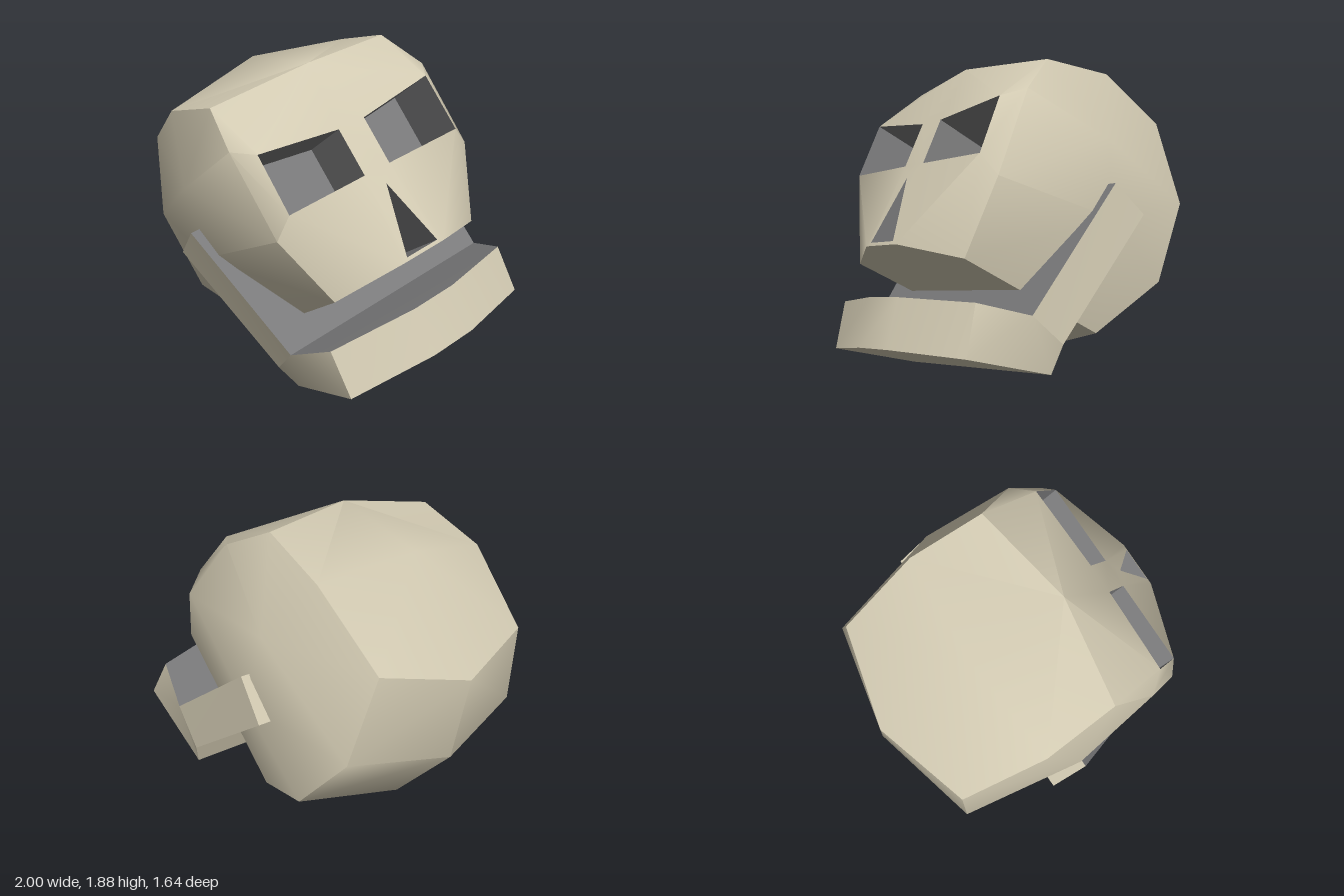
import * as THREE from 'three';
import { toCreasedNormals } from 'three/addons/utils/BufferGeometryUtils.js';

const V = (x, y, z) => new THREE.Vector3(x, y, z);
const mirror = (p) => V(p.x, p.y, -p.z);

// Builds a mesh from corner loops; each loop is fanned and turned to face
// away from (or, with inward, towards) the given centre.
function shell(name, loops, centre, material, { inward = false, crease = 0.7 } = {}) {
  const pos = [];
  for (const loop of loops) {
    for (let i = 1; i < loop.length - 1; i++) {
      let [a, b, c] = [loop[0], loop[i], loop[i + 1]];
      const n = b.clone().sub(a).cross(c.clone().sub(a));
      const out = a.clone().add(b).add(c).divideScalar(3).sub(centre);
      if ((n.dot(out) < 0) !== inward) [b, c] = [c, b];
      for (const p of [a, b, c]) pos.push(p.x, p.y, p.z);
    }
  }
  const g = new THREE.BufferGeometry();
  g.setAttribute('position', new THREE.Float32BufferAttribute(pos, 3));
  g.computeVertexNormals();
  const mesh = new THREE.Mesh(toCreasedNormals(g, crease), material);
  mesh.name = name;
  return mesh;
}

// Loops on one side plus their mirrored copies
const bothSides = (loops) => [...loops, ...loops.map((l) => l.map(mirror))];

// Recess: the opening pushed inwards along a fixed direction
function socket(name, rim, material) {
  const back = rim.map((p) => p.clone().add(V(-0.3, -0.2, 0)));
  const centre = V(0, 0, 0);
  [...rim, ...back].forEach((p) => centre.addScaledVector(p, 1 / (2 * rim.length)));
  const walls = rim.map((p, i) => {
    const j = (i + 1) % rim.length;
    return [p, rim[j], back[j], back[i]];
  });
  return shell(name, [...walls, back], centre, material, { inward: true, crease: 0.2 });
}

export function createModel() {
  const bone = new THREE.MeshStandardMaterial({ color: 0xd2cab2 });
  bone.name = 'bone';
  const hollow = new THREE.MeshStandardMaterial({ color: 0x7a7a7b });
  hollow.name = 'hollowGrey';

  const skull = new THREE.Group();
  skull.name = 'skull';

  // Midline of the cranium, from the forehead over the back to the base
  const mid = [V(0.11, 1.811, 0), V(-0.46, 1.75, 0), V(-1, 1.258, 0),
    V(-1, 0.767, 0), V(-0.71, 0.337, 0), V(-0.31, 0.1, 0)];
  // Matching rim where the crown meets the side
  const rim = [V(0.02, 1.755, 0.595), V(-0.4, 1.655, 0.62), V(-0.85, 1.353, 0.555),
    V(-0.85, 0.857, 0.655), V(-0.57, 0.43, 0.65), V(-0.15, 0.211, 0.505)];
  const [A, K, L, M, P, Q] = rim;

  // Side, brow and cheek corners
  const templeHigh = V(-0.2, 1.285, 0.755), templeLow = V(-0.15, 0.85, 0.76);
  const brow = V(0.26, 1.595, 0.67), cheek = V(0.54, 1.165, 0.67);
  const jawline = V(0.7, 0.772, 0.506), lip = V(0.86, 0.885, 0.145);

  // Eye and nose openings
  const eye = [V(0.38, 1.575, 0.58), V(0.41, 1.522, 0.087),
    V(0.57, 1.293, 0.087), V(0.57, 1.29, 0.585)];
  const [E1, E2, E3, E4] = eye;
  const noseTop = V(0.63, 1.226, 0), noseSide = V(0.85, 0.902, 0.109);

  const half = [
    // side
    [templeHigh, brow, A], [templeHigh, A, K], [templeHigh, K, L],
    [templeHigh, L, M, templeLow], [templeLow, M, P], [templeLow, P, Q],
    [templeLow, Q, jawline], [templeLow, jawline, cheek],
    [templeHigh, templeLow, cheek, brow],
    // forehead and brow
    [mid[0], A, E1], [A, brow, E1], [mid[0], E1, E2], [brow, E1, E4, cheek],
    // cheek
    [cheek, E4, jawline], [E4, E3, lip], [E4, lip, jawline],
    [E3, noseTop, noseSide], [E3, noseSide, lip],
    // underside
    [jawline, Q, lip], [lip, Q, mid[5]],
  ];
  for (let i = 0; i < 5; i++) half.push([mid[i], mid[i + 1], rim[i + 1], rim[i]]);

  const centreStrip = [
    [mid[0], E2, mirror(E2)],
    [E2, E3, mirror(E3), mirror(E2)],
    [E3, noseTop, mirror(E3)],
    [noseSide, lip, mirror(lip), mirror(noseSide)],
    [lip, mid[5], mirror(lip)],
  ];
  skull.add(shell('cranium', [...bothSides(half), ...centreStrip], V(0, 0.95, 0), bone));

  // Sockets
  skull.add(socket('leftEyeSocket', eye.map(mirror), hollow));
  skull.add(socket('rightEyeSocket', eye, hollow));
  skull.add(socket('noseCavity', [noseTop, noseSide, mirror(noseSide)], hollow));

  // Jaw: an L-shaped slab, wide at the hinge and narrower at the chin
  const hingeFront = V(-0.15, 1.04, 0.81), hingeBack = V(-0.34, 0.845, 0.81);
  const knee = V(0.29, 0.25, 0.7), inner = V(0.48, 0.44, 0.71);
  const base = V(0.34, 0.097, 0.63), chinLow = V(0.87, 0.3, 0.63), chinHigh = V(0.765, 0.56, 0.63);
  const tipLow = V(1, 0.354, 0.14), tipHigh = V(0.89, 0.61, 0.14);
  const across = (a, b) => [a, b, mirror(b), mirror(a)];
  const flat = { crease: 0.2 };
  const ramusCentre = V(0.08, 0.64, 0), bodyCentre = V(0.6, 0.33, 0);

  skull.add(shell('jawHinge', [
    ...bothSides([[hingeFront, hingeBack, knee, inner]]),
    across(hingeFront, hingeBack), across(hingeBack, knee),
  ], ramusCentre, bone, flat));
  skull.add(shell('jawHingeFront', [across(hingeFront, inner)], ramusCentre, hollow, flat));

  skull.add(shell('jawBody', [
    ...bothSides([[inner, knee, base, chinLow, chinHigh], [chinLow, tipLow, tipHigh, chinHigh]]),
    across(tipLow, tipHigh), across(knee, base),
    across(base, chinLow), across(chinLow, tipLow),
  ], bodyCentre, bone, { crease: 0.5 }));
  skull.add(shell('jawTop', [across(inner, chinHigh), across(chinHigh, tipHigh)],
    bodyCentre, hollow, flat));

  // Sideways tilt of the whole head
  skull.children.forEach((m) => { m.position.z = -0.193; });
  skull.rotation.x = 0.2147;

  const model = new THREE.Group();
  model.name = 'tiltedSkull';
  model.add(skull);
  return model;
}
